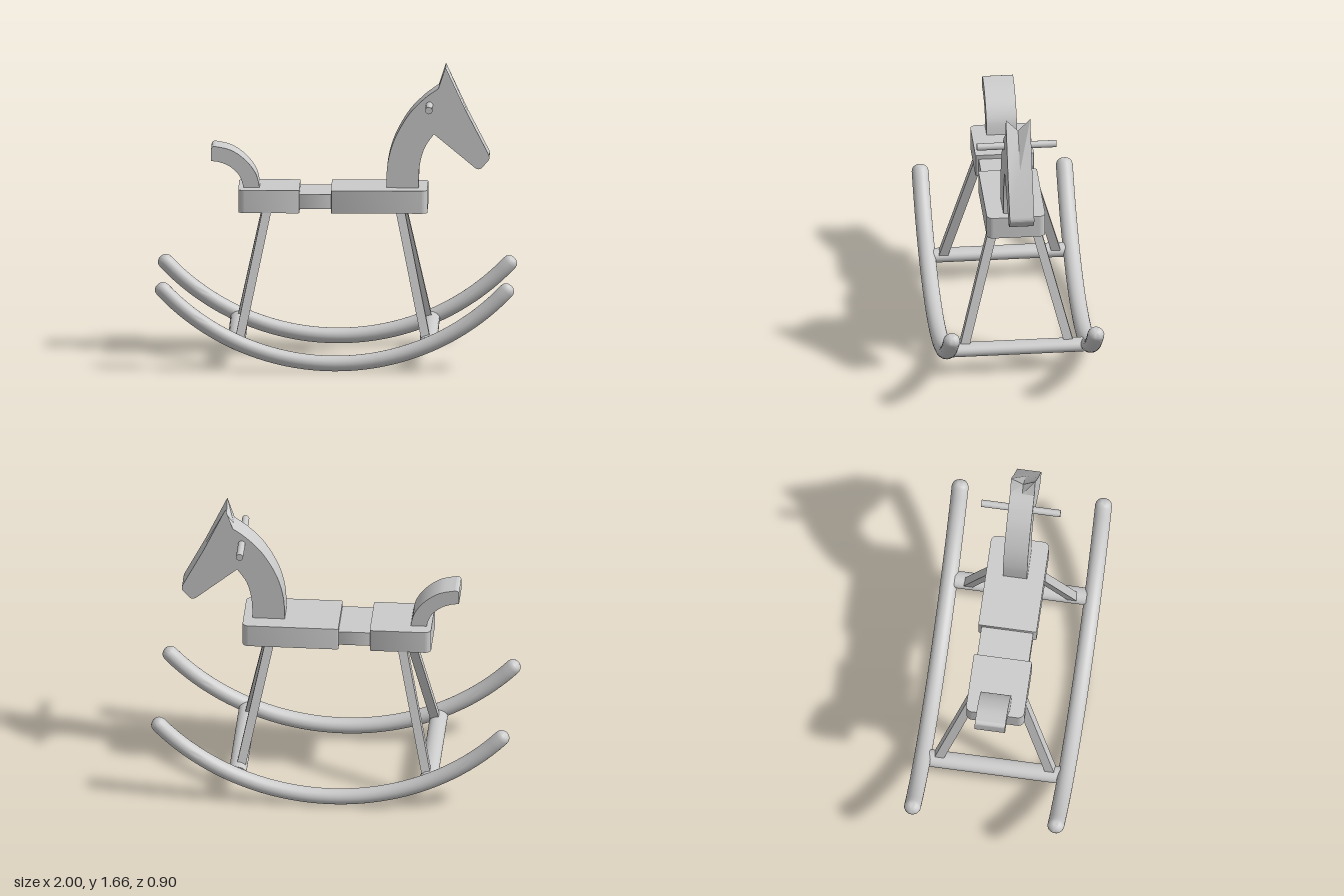
import * as THREE from 'three';
import { toCreasedNormals } from 'three/addons/utils/BufferGeometryUtils.js';

const material = new THREE.MeshStandardMaterial({ color: 0xcccccc });
const v2 = (points) => points.map(([x, y]) => new THREE.Vector2(x, y));

export function createModel() {
  const model = new THREE.Group();
  const add = (name, geometry, x = 0, y = 0, z = 0) => {
    const mesh = new THREE.Mesh(geometry, material);
    mesh.name = name;
    mesh.position.set(x, y, z);
    model.add(mesh);
    return mesh;
  };

  // Slab cut from a side profile, centred on z = 0
  const slab = (shape, depth, steps = 1) => {
    const g = new THREE.ExtrudeGeometry(shape, { depth, steps, bevelEnabled: false, curveSegments: 24 });
    return g.translate(0, 0, -depth / 2);
  };

  // Rockers: a round bar with softened ends, bent into an arc
  const R = 1.306, half = R * THREE.MathUtils.degToRad(47.5);
  const end = [[0, 0.028], [0.02, 0.025], [0.035, 0.016], [0.043, 0.005], [0.047, -0.012]];
  const profile = end.map(([r, d]) => [r, -half - d]);
  for (let i = 1; i < 40; i++) profile.push([0.047, (half - 0.012) * (i / 20 - 1)]);
  profile.push(...end.map(([r, d]) => [r, half + d]).reverse());
  const bar = new THREE.LatheGeometry(v2(profile), 24);
  const p = bar.attributes.position;
  for (let i = 0; i < p.count; i++) {
    const angle = p.getY(i) / R, radius = R + p.getX(i) * 0.92;
    p.setXY(i, radius * Math.sin(angle), 1.349 - radius * Math.cos(angle));
  }
  const rocker = toCreasedNormals(bar, 0.9);
  for (const s of [1, -1]) add(s > 0 ? 'leftRocker' : 'rightRocker', rocker, 0, 0, 0.402 * s);

  // Cross bars between the rockers
  for (const [name, x] of [['frontCrossBar', 0.52], ['rearCrossBar', -0.545]]) {
    add(name, new THREE.CylinderGeometry(0.038, 0.038, 0.74, 24).rotateX(Math.PI / 2), x, 0.15, 0)
      .scale.x = 1.3;
  }

  // Splayed square legs: boxes sheared from foot to seat
  const leg = (name, foot, top) => {
    const y0 = 0.15, y1 = 0.86;
    const g = new THREE.BoxGeometry(0.05, y1 - y0, 0.052);
    const q = g.attributes.position;
    for (let i = 0; i < q.count; i++) {
      const [x, z] = q.getY(i) > 0 ? top : foot;
      q.setXYZ(i, q.getX(i) + x, q.getY(i) + (y0 + y1) / 2, q.getZ(i) + z);
    }
    add(name, toCreasedNormals(g, 0.5));
  };
  for (const s of [1, -1]) {
    leg('frontLeg', [0.508, 0.296 * s], [0.358, 0.11 * s]);
    leg('rearLeg', [-0.532, 0.318 * s], [-0.38, 0.126 * s]);
  }

  // Seat blocks: plan outlines with rounded corners, extruded upwards
  const block = (name, x0, x1, w, y0, y1, rBack, rFront) => {
    const s = new THREE.Shape();
    s.moveTo(x0 + rBack, -w).lineTo(x1 - rFront, -w);
    s.absarc(x1 - rFront, -w + rFront, rFront, -Math.PI / 2, 0);
    s.absarc(x1 - rFront, w - rFront, rFront, 0, Math.PI / 2);
    s.absarc(x0 + rBack, w - rBack, rBack, Math.PI / 2, Math.PI);
    s.absarc(x0 + rBack, -w + rBack, rBack, Math.PI, Math.PI * 1.5);
    const g = new THREE.ExtrudeGeometry(s, { depth: y1 - y0, bevelEnabled: false, curveSegments: 8 });
    add(name, toCreasedNormals(g.rotateX(-Math.PI / 2), 0.6), 0, y0, 0);
  };
  block('rearSeatBlock', -0.54, -0.2, 0.163, 0.845, 0.973, 0.035, 0.01);
  block('frontSeatBlock', -0.025, 0.51, 0.163, 0.845, 0.973, 0.01, 0.035);
  block('seatMiddle', -0.21, -0.015, 0.145, 0.866, 0.948, 0.004, 0.004);

  // Neck and head in one board
  const head = new THREE.Shape();
  head.moveTo(0.28, 0.96);
  head.splineThru(v2([[0.288, 1.11], [0.328, 1.25], [0.405, 1.385], [0.49, 1.475], [0.57, 1.535]]));
  head.lineTo(0.61, 1.655).lineTo(0.73, 1.395).lineTo(0.848, 1.165);
  head.quadraticCurveTo(0.86, 1.14, 0.845, 1.125);
  head.lineTo(0.812, 1.088);
  head.quadraticCurveTo(0.795, 1.07, 0.77, 1.09);
  head.lineTo(0.545, 1.277);
  head.splineThru(v2([[0.492, 1.195], [0.465, 1.09], [0.46, 0.96]]));
  head.closePath();
  const headGeometry = slab(head, 0.136, 2);
  // Drop the middle of the crest so that two ears remain
  const h = headGeometry.attributes.position;
  for (let i = 0; i < h.count; i++) {
    if (h.getY(i) > 1.64 && Math.abs(h.getZ(i)) < 0.01) h.setY(i, 1.585);
  }
  add('neckAndHead', toCreasedNormals(headGeometry, 0.5));

  // Handle through the head
  add('handle', new THREE.CylinderGeometry(0.02, 0.02, 0.444, 20).rotateX(Math.PI / 2), 0.52, 1.44, 0);

  // Curved tail
  const tail = new THREE.Shape();
  tail.moveTo(-0.42, 0.96);
  tail.splineThru(v2([[-0.443, 1.05], [-0.5, 1.127], [-0.58, 1.183], [-0.67, 1.205]]));
  tail.quadraticCurveTo(-0.692, 1.205, -0.692, 1.185);
  tail.lineTo(-0.692, 1.122);
  tail.splineThru(v2([[-0.65, 1.117], [-0.59, 1.093], [-0.535, 1.04], [-0.508, 0.96]]));
  tail.closePath();
  add('tail', toCreasedNormals(slab(tail, 0.17), 0.5), 0, 0, -0.005);

  return model;
}
